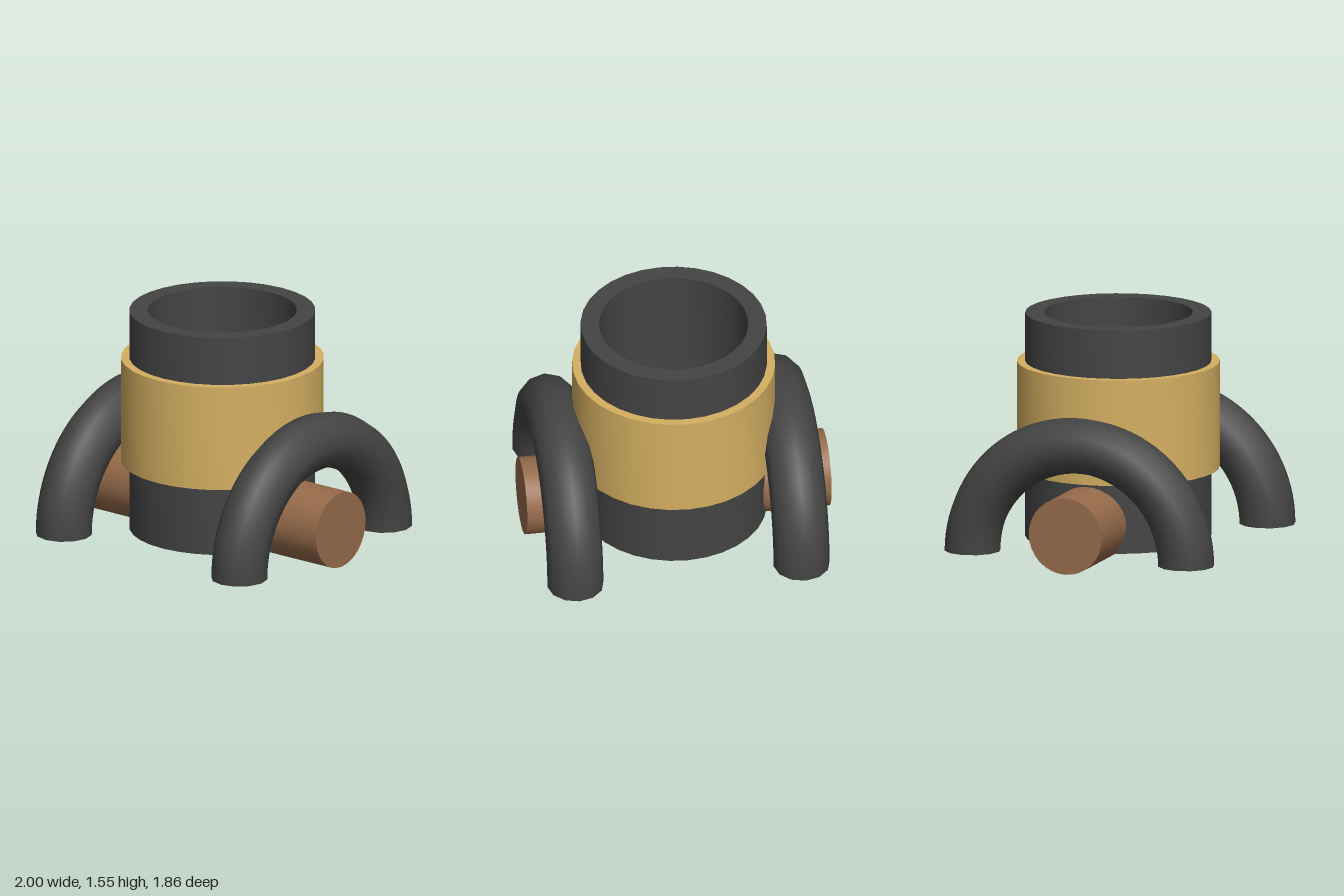
import * as THREE from 'three';
import { toCreasedNormals } from 'three/addons/utils/BufferGeometryUtils.js';

const dark = new THREE.MeshStandardMaterial({ color: 0x444444 });
const darkOpen = new THREE.MeshStandardMaterial({ color: 0x444444, side: THREE.DoubleSide });
const gold = new THREE.MeshStandardMaterial({ color: 0xd4af61 });
const brown = new THREE.MeshStandardMaterial({ color: 0x966b4a });

const AXIS_Z = -0.01;

// Smooth-sided turned shape with sharp rims, from [radius, height] pairs
function turned(profile) {
  const points = profile.map(([r, y]) => new THREE.Vector2(r, y));
  return toCreasedNormals(new THREE.LatheGeometry(points, 32), 0.6);
}

export function createModel() {
  const model = new THREE.Group();
  const add = (name, geometry, material, x, y, z) => {
    const mesh = new THREE.Mesh(geometry, material);
    mesh.name = name;
    mesh.position.set(x, y, z);
    model.add(mesh);
    return mesh;
  };

  // Cup-like body: solid below, hollow above
  add('barrel', turned([
    [0, 0.07], [0.605, 0.07], [0.605, 1.55], [0.485, 1.55], [0.485, 0.55], [0, 0.55],
  ]), dark, 0, 0, AXIS_Z);

  // Wide band around the body
  add('collar', turned([
    [0.6, 0.53], [0.66, 0.53], [0.66, 1.23], [0.6, 1.23],
  ]), gold, 0, 0, AXIS_Z);

  // Cross rod through the base
  add('axle', new THREE.CylinderGeometry(0.253, 0.253, 2, 32), brown, 0, 0.253, -0.005)
    .rotation.z = Math.PI / 2;

  // Half-ring arches over the rod, with open ends
  const arch = new THREE.TorusGeometry(0.74, 0.184, 12, 48, Math.PI);
  for (const [name, x, z] of [['rightArch', -0.725, -0.01], ['leftArch', 0.76, 0]]) {
    add(name, arch, darkOpen, x, 0.06, z).rotation.y = Math.PI / 2;
  }

  return model;
}
